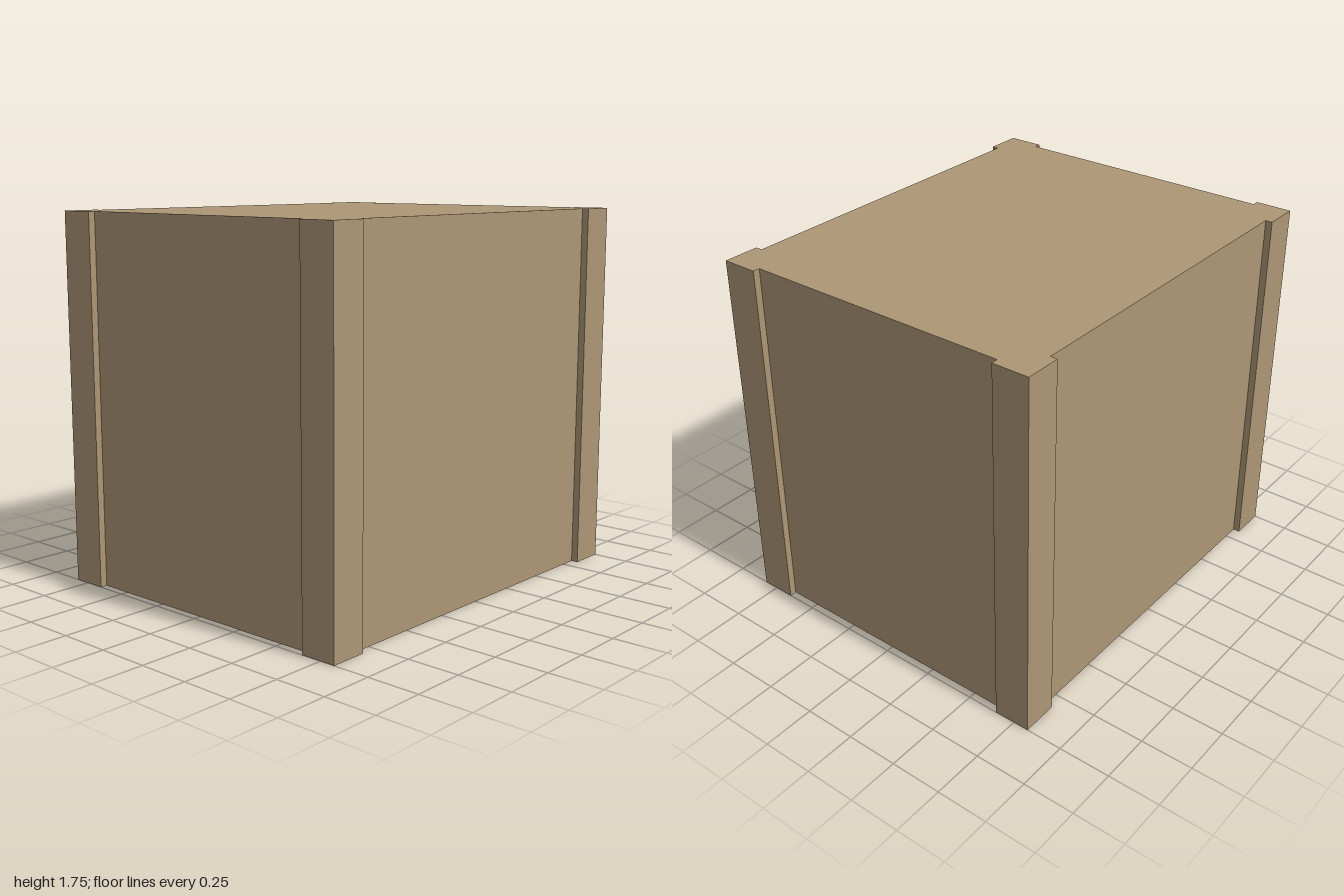
import * as THREE from 'three';

const HX = 1, HZ = 0.825, HEIGHT = 1.755; // half width, half depth, height
const POST = 0.175;                       // width of each corner post face
const INSET = 0.033;                      // how far the panels sit behind the posts

export function createModel() {
  const group = new THREE.Group();
  group.name = 'crate';

  // One corner of the plan, running anticlockwise from the side panel to the front panel
  const corner = [
    [HX - INSET, HZ - POST], [HX, HZ - POST], [HX, HZ],
    [HX - POST, HZ], [HX - POST, HZ - INSET],
  ];

  // Mirror the corner into all four quadrants, reversing where the mirror flips the order
  const outline = [];
  for (const [sx, sz] of [[1, 1], [-1, 1], [-1, -1], [1, -1]]) {
    const points = corner.map(([x, z]) => new THREE.Vector2(x * sx, z * sz));
    outline.push(...(sx * sz > 0 ? points : points.reverse()));
  }

  // Solid block with recessed side panels and raised corner posts
  const geometry = new THREE.ExtrudeGeometry(new THREE.Shape(outline), {
    depth: HEIGHT, bevelEnabled: false,
  });
  geometry.rotateX(-Math.PI / 2);

  const body = new THREE.Mesh(geometry, new THREE.MeshStandardMaterial({ color: 0xad9776 }));
  body.name = 'bodyWithCornerPosts';
  group.add(body);
  return group;
}
